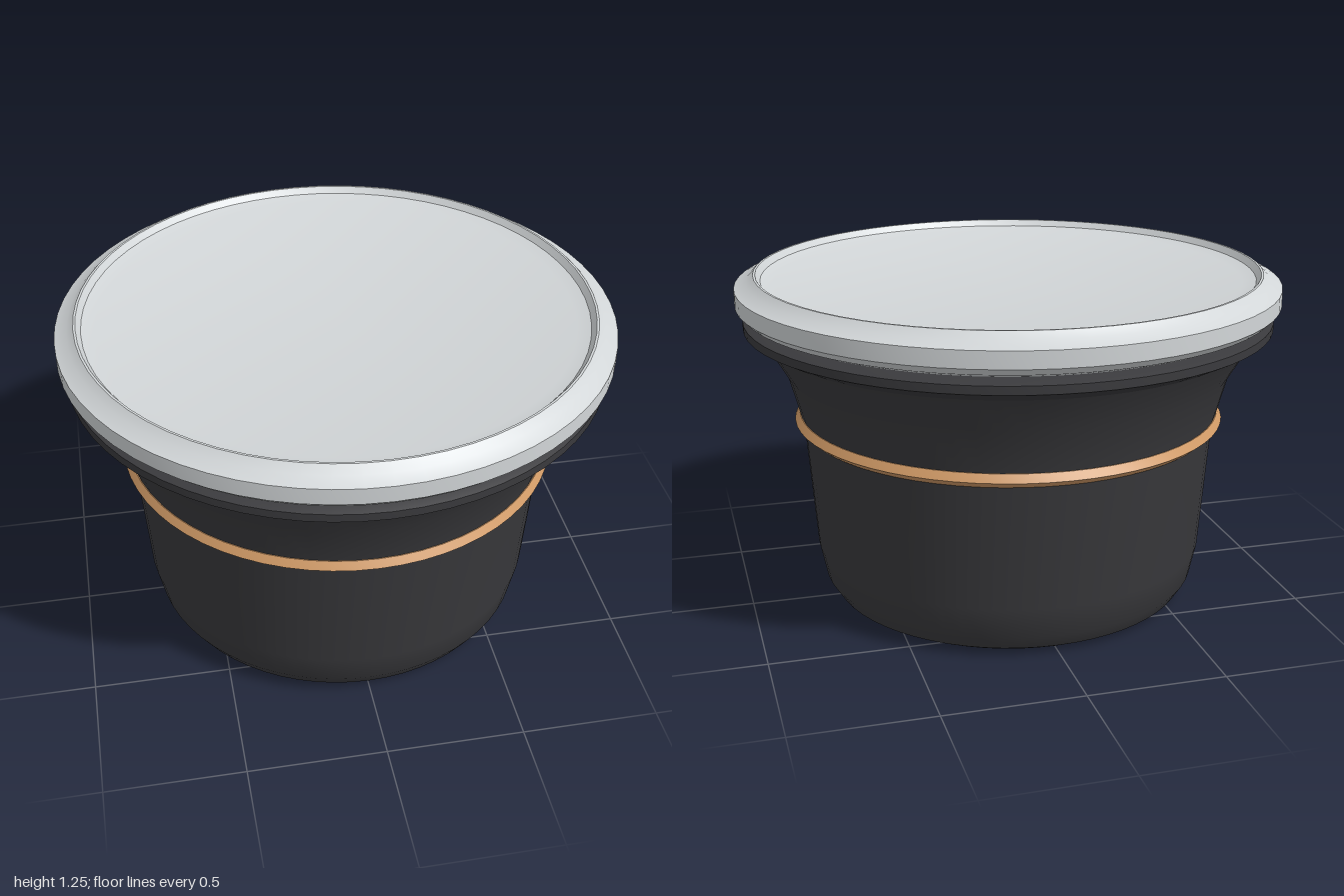
import * as THREE from 'three';
import { toCreasedNormals } from 'three/addons/utils/BufferGeometryUtils.js';

// Revolves a [radius, height] profile, listed from the bottom centre outward and up
function turned(name, profile, color) {
  const points = profile.map(([r, y]) => new THREE.Vector2(r, y));
  const geometry = toCreasedNormals(new THREE.LatheGeometry(points, 64), 0.4);
  const mesh = new THREE.Mesh(geometry, new THREE.MeshStandardMaterial({ color }));
  mesh.name = name;
  return mesh;
}

export function createModel() {
  const group = new THREE.Group();
  group.name = 'lidded pot';

  // Tapered cup with rounded foot, flaring to a thick lip
  group.add(turned('cup', [
    [0, 0], [0.63, 0], [0.675, 0.025], [0.71, 0.08], [0.735, 0.2],
    [0.77, 0.67], [0.782, 0.72], [0.825, 0.88], [0.9, 1.01],
    [0.975, 1.05], [0.975, 1.08], [0.93, 1.095], [0, 1.095],
  ], 0x3a3a3d));

  // Thin ridge band around the waist
  group.add(turned('band', [
    [0.76, 0.667], [0.773, 0.667], [0.803, 0.692], [0.785, 0.72], [0.76, 0.72],
  ], 0xd09a66));

  // Lid with bevelled rim and a shallow recessed top
  group.add(turned('lid', [
    [0, 1.097], [0.93, 1.097], [0.975, 1.115], [1, 1.14], [1, 1.2],
    [0.955, 1.22], [0.93, 1.245], [0.922, 1.245], [0.905, 1.222],
    [0.857, 1.21], [0, 1.21],
  ], 0xd2d6d8));

  return group;
}
